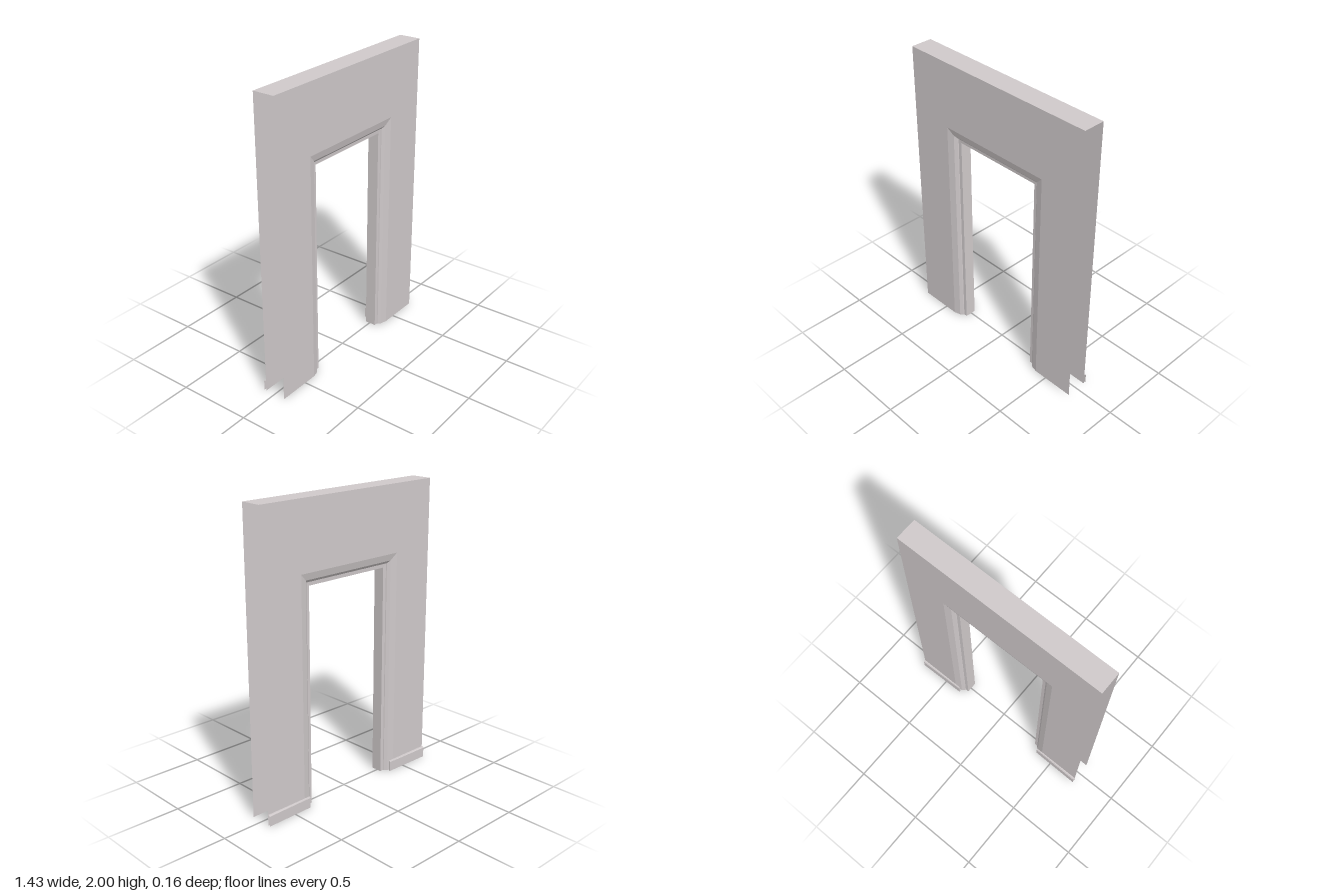
import * as THREE from 'three';

const plaster = new THREE.MeshStandardMaterial({ color: 0xcfc9ca, side: THREE.DoubleSide });
plaster.name = 'warm grey plaster';

const HALF_WIDTH = 0.713, HEIGHT = 2;
const OPEN_X = 0.321, OPEN_Y = 1.46;
const FRONT = 0.08, BACK = -0.067;

// Build flat faceted quads, each listed counter-clockwise
function quadMesh(name, quads) {
  const pos = [];
  for (const [a, b, c, d] of quads) pos.push(...a, ...b, ...c, ...a, ...c, ...d);
  const geo = new THREE.BufferGeometry();
  geo.setAttribute('position', new THREE.Float32BufferAttribute(pos, 3));
  geo.computeVertexNormals();
  const mesh = new THREE.Mesh(geo, plaster);
  mesh.name = name;
  return mesh;
}

// Mitred path around the doorway: up one jamb, across the head, down the other
const archPath = (x, y, z) => [[-x, 0, z], [-x, y, z], [x, y, z], [x, 0, z]];
const offsetPath = (d, z) => archPath(OPEN_X + d, OPEN_Y + d, z);

// Join successive paths into bands running around the doorway
function doorwayBands(name, paths) {
  const quads = [];
  for (let k = 0; k < paths.length - 1; k++) {
    const p = paths[k], q = paths[k + 1];
    for (let i = 0; i < 3; i++) quads.push([p[i], q[i], q[i + 1], p[i + 1]]);
  }
  return quadMesh(name, quads);
}

export function createModel() {
  const group = new THREE.Group();
  group.name = 'doorwayWall';

  // Wall skins, open at both ends and underneath
  const frontEdge = offsetPath(0.09, FRONT);
  const backEdge = offsetPath(0.09, BACK);
  group.add(doorwayBands('frontWall', [archPath(HALF_WIDTH, HEIGHT, FRONT), frontEdge]));
  group.add(doorwayBands('backWall', [backEdge, archPath(HALF_WIDTH, HEIGHT, BACK)]));

  // Bevel and rebate leading in to the reveal on each face
  const frontSteps = [[0.044, 0.068], [0.026, 0.052], [0.024, 0.046], [0, 0.045]];
  const backSteps = frontSteps.map(([d, z]) => [d, FRONT + BACK - z]).reverse();
  group.add(doorwayBands('frontTrim', [frontEdge, ...frontSteps.map(s => offsetPath(...s))]));
  group.add(doorwayBands('reveal', [offsetPath(...frontSteps[3]), offsetPath(...backSteps[0])]));
  group.add(doorwayBands('backTrim', [...backSteps.map(s => offsetPath(...s)), backEdge]));

  // Top cap
  group.add(quadMesh('topCap', [[
    [-HALF_WIDTH, HEIGHT, FRONT], [HALF_WIDTH, HEIGHT, FRONT],
    [HALF_WIDTH, HEIGHT, BACK], [-HALF_WIDTH, HEIGHT, BACK],
  ]]));

  // Skirting boards along the back, thinner towards the doorway
  const skirting = [[0, 1], [0.068, 1], [0.076, 0.6], [0.076, 0]]; // height, share of thickness
  for (const side of [-1, 1]) {
    const inner = 0.37, quads = [];
    const at = (x, depth, [y, t]) => [side * x, y, BACK - depth * t];
    const add = (a, b, c, d) => quads.push(side > 0 ? [a, b, c, d] : [d, c, b, a]);
    for (let i = 0; i < skirting.length - 1; i++) {
      const p = skirting[i], q = skirting[i + 1];
      add(at(HALF_WIDTH, 0.016, p), at(inner, 0.01, p), at(inner, 0.01, q), at(HALF_WIDTH, 0.016, q));
    }
    // Return at the doorway end
    add(at(inner, 0.01, [0, 1]), at(inner, 0.01, [0, 0]),
      at(inner, 0.01, [0.076, 0]), at(inner, 0.01, [0.072, 1]));
    group.add(quadMesh(side > 0 ? 'leftSkirting' : 'rightSkirting', quads));
  }
  return group;
}
